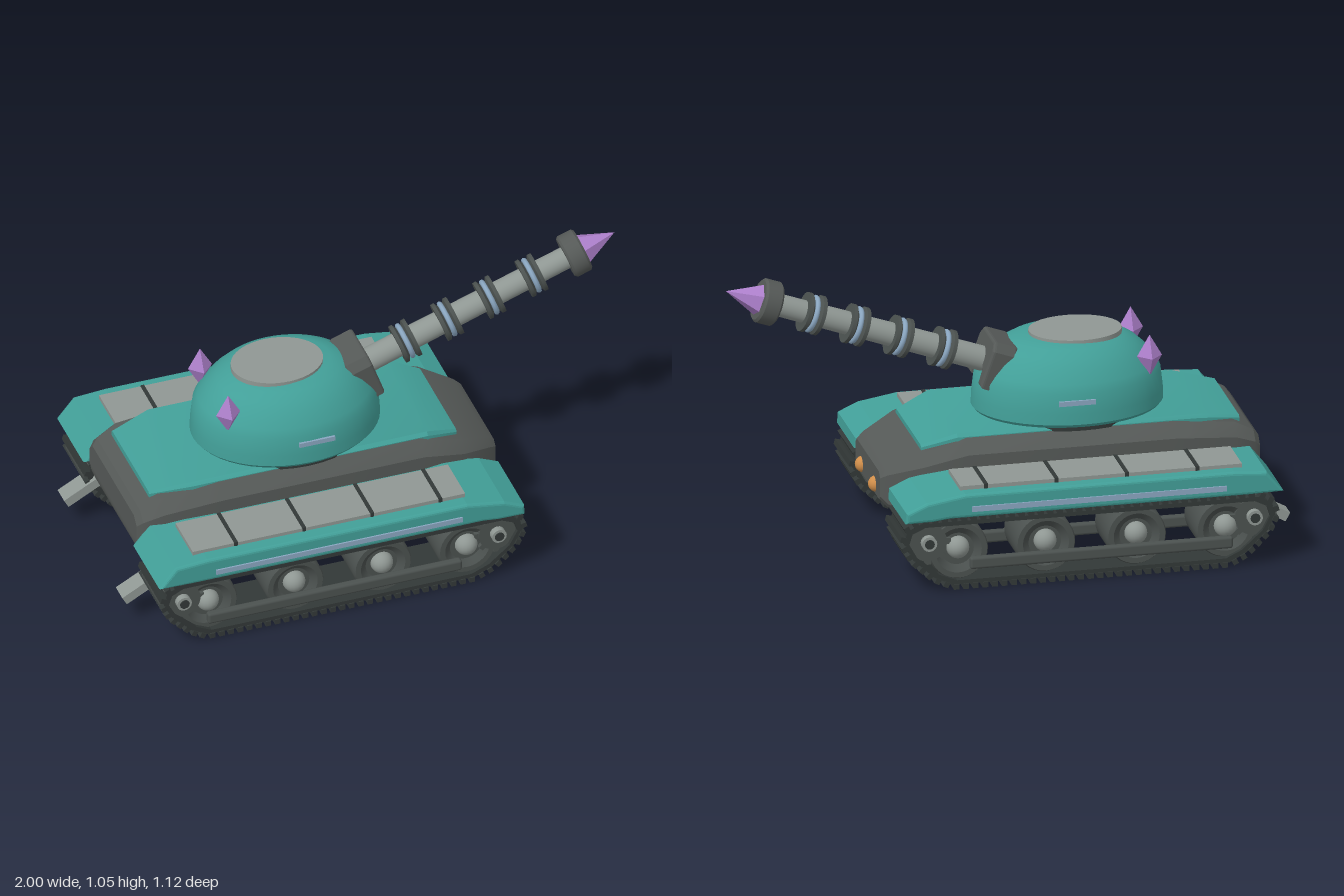
import * as THREE from 'three';
import { toCreasedNormals } from 'three/addons/utils/BufferGeometryUtils.js';
import { RoundedBoxGeometry } from 'three/addons/geometries/RoundedBoxGeometry.js';

const mat = (name, color, extra = {}) => Object.assign(new THREE.MeshStandardMaterial({ color, ...extra }), { name });
const M = {
  teal: mat('teal paint', 0x429f98),
  hull: mat('dark grey armour', 0x555957),
  wheel: mat('wheel grey', 0x4b514f),
  track: mat('track rubber', 0x323837),
  steel: mat('light steel', 0x8f9793),
  blue: mat('pale blue trim', 0x8aa6c0),
  crystal: mat('purple crystal', 0xac7fca, { flatShading: true }),
  lamp: mat('orange lamp', 0xd08e4a),
};

function add(parent, name, geo, material, x = 0, y = 0, z = 0) {
  const m = new THREE.Mesh(geo, material);
  m.name = name;
  m.position.set(x, y, z);
  parent.add(m);
  return m;
}

// Octagonal sections along x: [x, half width, bottom, top, top chamfer, bottom chamfer]
function loft(sections) {
  const pos = [], idx = [], n = 8;
  for (const [x, w, b, t, c, d] of sections) {
    for (const [z, y] of [[-w, b + d], [-w, t - c], [c - w, t], [w - c, t], [w, t - c], [w, b + d], [w - d, b], [d - w, b]]) pos.push(x, y, z);
  }
  for (let i = 0; i < sections.length - 1; i++) for (let j = 0; j < n; j++) {
    const a = i * n + j, b = i * n + (j + 1) % n;
    idx.push(a, b, a + n, b, b + n, a + n);
  }
  const e = (sections.length - 1) * n;
  for (let j = 1; j < n - 1; j++) idx.push(0, j + 1, j, e, e + j, e + j + 1);
  const g = new THREE.BufferGeometry();
  g.setAttribute('position', new THREE.Float32BufferAttribute(pos, 3));
  g.setIndex(idx);
  return toCreasedNormals(g, 0.4);
}

const shapeOf = pts => new THREE.Shape(pts.map(p => new THREE.Vector2(...p)));
const lathe = (pts, seg = 32) => toCreasedNormals(new THREE.LatheGeometry(pts.map(p => new THREE.Vector2(...p)), seg), 0.5);

// One running gear, centred on its own z = 0
function runningGear() {
  const g = new THREE.Group();
  const path = [[-0.74, 0.018], [0.28, 0.018], [0.35, 0.05], [0.43, 0.125], [0.462, 0.19], [0.45, 0.235], [0.40, 0.26],
    [-0.85, 0.26], [-0.895, 0.235], [-0.908, 0.19], [-0.88, 0.13], [-0.80, 0.05]];
  // Track belt: outer outline with the inner loop cut out
  const belt = shapeOf(path);
  belt.holes.push(new THREE.Path(path.map(([x, y]) => new THREE.Vector2(-0.225 + (x + 0.225) * 0.972, 0.14 + (y - 0.14) * 0.87)).reverse()));
  add(g, 'trackBelt', new THREE.ExtrudeGeometry(belt, { depth: 0.23, bevelEnabled: false }), M.track, 0, 0, -0.115);
  // Track shoes spaced along the belt
  const loop = new THREE.CurvePath();
  path.forEach((p, i) => loop.add(new THREE.LineCurve(new THREE.Vector2(...p), new THREE.Vector2(...path[(i + 1) % path.length]))));
  const shoe = new THREE.BoxGeometry(0.02, 0.02, 0.24);
  const count = 84;
  for (let i = 0; i < count; i++) {
    const u = (i + 0.5) / count, p = loop.getPointAt(u), t = loop.getTangentAt(u);
    add(g, 'trackShoe', shoe, M.track, p.x + t.y * 0.008, p.y - t.x * 0.008, 0).rotation.z = Math.atan2(t.y, t.x);
  }
  // Dished road wheels with domed hubs
  const wheelGeo = lathe([[0, -0.08], [0.06, -0.08], [0.085, -0.1], [0.105, -0.1], [0.11, -0.09], [0.11, 0.09], [0.105, 0.1], [0.085, 0.1], [0.06, 0.08], [0, 0.08]]);
  wheelGeo.rotateX(Math.PI / 2);
  const hubGeo = new THREE.SphereGeometry(0.042, 20, 12);
  for (const x of [-0.73, -0.4, -0.065, 0.257]) {
    add(g, 'roadWheel', wheelGeo, M.wheel, x, 0.143, 0);
    for (const s of [-1, 1]) add(g, 'wheelHub', hubGeo, M.steel, x, 0.15, s * 0.082);
  }
  // Sprockets at both ends
  const sprocket = new THREE.CylinderGeometry(0.07, 0.07, 0.2, 20).rotateX(Math.PI / 2);
  const cap = new THREE.CylinderGeometry(0.028, 0.028, 0.25, 16).rotateX(Math.PI / 2);
  const pin = new THREE.CylinderGeometry(0.018, 0.018, 0.258, 12).rotateX(Math.PI / 2);
  for (const x of [-0.832, 0.37]) {
    add(g, 'sprocket', sprocket, M.wheel, x, 0.18, 0);
    add(g, 'sprocketCap', cap, M.steel, x, 0.183, 0);
    add(g, 'sprocketPin', pin, M.track, x, 0.183, 0);
    for (let i = 0; i < 8; i++) {
      const a = i * Math.PI / 4;
      add(g, 'sprocketTooth', new THREE.BoxGeometry(0.03, 0.022, 0.19), M.wheel, x + Math.cos(a) * 0.07, 0.18 + Math.sin(a) * 0.07, 0).rotation.z = a;
    }
  }
  // Long beams across the wheels
  for (const s of [-1, 1]) add(g, 'bogieBeam', new RoundedBoxGeometry(0.97, 0.045, 0.03, 2, 0.01), M.wheel, -0.262, 0.102, s * 0.127);
  return g;
}

function fender(s) {
  const g = new THREE.Group();
  const shape = shapeOf([[-0.918, 0.292], [-0.865, 0.352], [-0.75, 0.36], [0.24, 0.358], [0.38, 0.335], [0.448, 0.305], [0.45, 0.284], [0.36, 0.286], [0.3, 0.293], [-0.8, 0.293]]);
  add(g, 'fender', new THREE.ExtrudeGeometry(shape, { depth: 0.27, bevelSize: 0.012, bevelThickness: 0.012, bevelSegments: 3 }), M.teal, 0, 0, s * 0.405 - 0.135);
  add(g, 'sideTrim', new THREE.BoxGeometry(0.94, 0.02, 0.008), M.blue, -0.25, 0.315, s * 0.554);
  // Cover plates with dark seams
  add(g, 'coverPlate', new THREE.BoxGeometry(1.04, 0.02, 0.185), M.steel, -0.27, 0.375, s * 0.407);
  for (let i = 0; i < 4; i++) add(g, 'coverSeam', new THREE.BoxGeometry(0.014, 0.026, 0.188), M.track, -0.625 + i * 0.26, 0.375, s * 0.407);
  return g;
}

function gun() {
  const g = new THREE.Group();
  g.position.set(0, 0.661, 0);
  g.rotation.z = 0.342;
  // Arch-shaped mantlet
  const arch = shapeOf([[-0.1, -0.07], [-0.07, -0.07], [-0.062, -0.025], [-0.035, 0], [0.035, 0], [0.062, -0.025], [0.07, -0.07], [0.1, -0.07], [0.1, 0.06], [0.08, 0.085], [-0.08, 0.085], [-0.1, 0.06]]);
  const archGeo = new THREE.ExtrudeGeometry(arch, { depth: 0.07, bevelSize: 0.01, bevelThickness: 0.012, bevelSegments: 3 });
  add(g, 'mantlet', archGeo.rotateY(Math.PI / 2), M.hull, -0.02, 0, 0);
  // Everything below turns around the barrel axis
  const alongX = (name, geo, material, x) => add(g, name, geo.rotateZ(-Math.PI / 2), material, x, 0, 0);
  alongX('barrel', new THREE.CylinderGeometry(0.041, 0.046, 0.88, 28), M.steel, 0.44);
  for (const x of [0.212, 0.382, 0.553, 0.724]) {
    alongX('barrelCollar', lathe([[0.04, -0.032], [0.073, -0.032], [0.073, -0.018], [0.057, -0.01], [0.057, 0.01], [0.073, 0.018], [0.073, 0.032], [0.04, 0.032]]), M.wheel, x);
    alongX('collarRing', new THREE.TorusGeometry(0.06, 0.01, 8, 32).rotateX(Math.PI / 2), M.blue, x);
  }
  alongX('muzzle', lathe([[0, -0.035], [0.074, -0.035], [0.082, -0.027], [0.082, 0.027], [0.074, 0.035], [0, 0.035]]), M.hull, 0.897);
  alongX('crystalTip', new THREE.ConeGeometry(0.066, 0.145, 6).rotateY(Math.PI / 6), M.crystal, 0.988);
  return g;
}

function turret() {
  const g = new THREE.Group();
  const dome = lathe([[0, 0.488], [0.97, 0.488], [1, 0.5], [0.995, 0.54], [0.97, 0.615], [0.92, 0.645], [0.83, 0.687], [0.72, 0.722], [0.6, 0.745], [0.48, 0.757], [0, 0.757]], 48);
  dome.scale(0.35, 1, 0.28);
  add(g, 'turretDome', toCreasedNormals(dome, 0.6), M.teal, -0.26, 0, 0);
  add(g, 'turretRing', new THREE.CylinderGeometry(1, 1, 0.025, 40).scale(0.32, 1, 0.26), M.track, -0.26, 0.482, 0);
  add(g, 'roofHatch', new THREE.CylinderGeometry(1, 1, 0.03, 40).scale(0.17, 1, 0.135), M.steel, -0.29, 0.753, 0);
  for (const s of [-1, 1]) {
    add(g, 'turretTrim', new THREE.BoxGeometry(0.135, 0.018, 0.009), M.blue, -0.235, 0.583, s * 0.276);
    add(g, 'turretCrystal', new THREE.OctahedronGeometry(1).scale(0.046, 0.08, 0.046), M.crystal, -0.53, 0.695, s * 0.15);
  }
  return g;
}

export function createModel() {
  const root = new THREE.Group();
  root.name = 'tank';
  const attach = (name, part) => { part.name = name; root.add(part); return part; };
  add(root, 'hull', loft([
    [-0.915, 0.25, 0.27, 0.385, 0.03, 0.02], [-0.895, 0.265, 0.22, 0.41, 0.035, 0.02], [-0.82, 0.285, 0.17, 0.45, 0.045, 0.02],
    [-0.6, 0.293, 0.16, 0.472, 0.05, 0.02], [0.17, 0.293, 0.16, 0.472, 0.05, 0.02],
    [0.33, 0.27, 0.165, 0.42, 0.04, 0.02], [0.45, 0.212, 0.215, 0.365, 0.025, 0.015], [0.475, 0.195, 0.24, 0.345, 0.02, 0.015],
  ]), M.hull);
  add(root, 'deck', loft([
    [-0.85, 0.2, 0.42, 0.457, 0.008, 0.004], [-0.7, 0.243, 0.44, 0.487, 0.012, 0.004],
    [0.2, 0.243, 0.44, 0.487, 0.012, 0.004], [0.325, 0.2, 0.39, 0.44, 0.008, 0.004],
  ]), M.teal);
  for (const s of [-1, 1]) {
    const side = s > 0 ? 'left' : 'right';
    attach(side + 'RunningGear', runningGear()).position.z = s * 0.405;
    attach(side + 'Fender', fender(s));
    add(root, 'exhaust', new THREE.BoxGeometry(0.16, 0.036, 0.07), M.steel, -0.925, 0.145, s * 0.31).rotation.z = 0.5;
    add(root, 'headlight', new THREE.SphereGeometry(0.03, 20, 14), M.lamp, 0.468, 0.272, s * 0.104);
  }
  attach('turret', turret());
  attach('gun', gun());
  return root;
}
